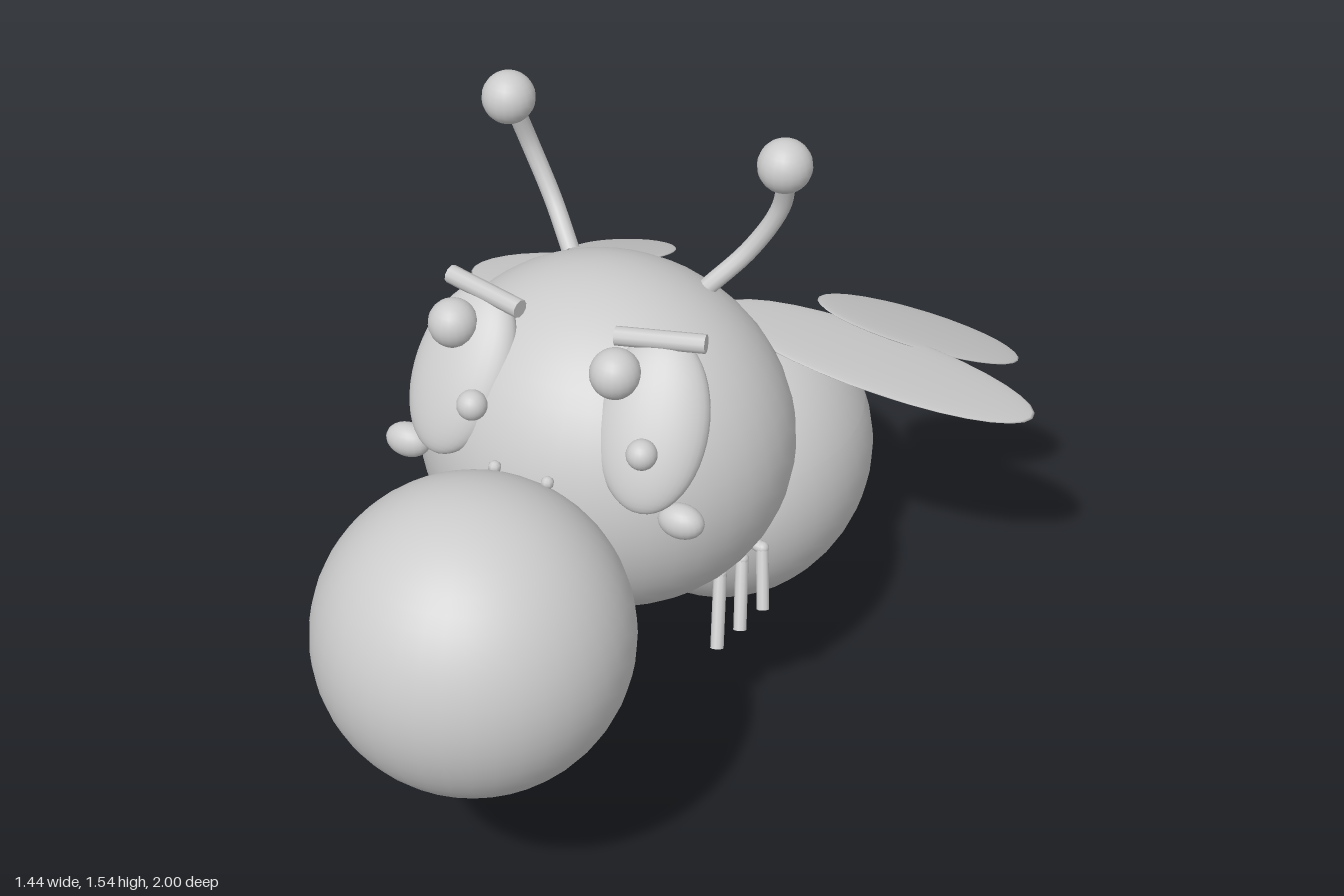
import * as THREE from 'three';

const shell = new THREE.MeshStandardMaterial({ color: 0xcccccc });
shell.name = 'pale grey';

export function createModel() {
  const model = new THREE.Group();
  model.name = 'bee';

  const add = (name, geometry, position = [0, 0, 0]) => {
    const mesh = new THREE.Mesh(geometry, shell);
    mesh.name = name;
    mesh.position.set(...position);
    model.add(mesh);
    return mesh;
  };
  const ellipsoid = (name, position, radii, w = 32, h = 24) => {
    const mesh = add(name, new THREE.SphereGeometry(1, w, h), position);
    mesh.scale.set(...radii);
    return mesh;
  };
  const ball = (name, position, r, w = 20, h = 14) =>
    add(name, new THREE.SphereGeometry(r, w, h), position);
  // Straight rod between two points
  const rod = (name, from, to, r) => {
    const a = new THREE.Vector3(...from), b = new THREE.Vector3(...to);
    const mesh = add(name, new THREE.CylinderGeometry(r, r, a.distanceTo(b), 10));
    mesh.position.copy(a).lerp(b, 0.5);
    mesh.quaternion.setFromUnitVectors(new THREE.Vector3(0, 1, 0), b.sub(a).normalize());
    return mesh;
  };
  // Thin oval wing spanned by a long and a short half axis
  const wing = (name, centre, long, short, side) => {
    const a = new THREE.Vector3(long[0] * side, long[1], long[2]);
    const b = new THREE.Vector3(short[0] * side, short[1], short[2]);
    const n = a.clone().cross(b).setLength(0.01);
    const geometry = new THREE.SphereGeometry(1, 32, 16);
    geometry.applyMatrix4(new THREE.Matrix4().makeBasis(a, b, n));
    add(name, geometry, [centre[0] * side, centre[1], centre[2]]);
  };

  // Body
  ellipsoid('head', [0, 0.855, 0.07], [0.41, 0.385, 0.37], 40, 28);
  ball('nose', [0, 0.73, 0.668], 0.33, 40, 28);
  ellipsoid('thorax', [0, 0.575, -0.215], [0.26, 0.225, 0.225]);
  ellipsoid('abdomen', [0, 0.345, -0.61], [0.322, 0.337, 0.385], 40, 28);

  // Thin cover over the top of the abdomen
  const cover = add('abdomenCover',
    new THREE.SphereGeometry(1, 40, 12, 0, Math.PI * 2, 0, 1.15), [0, 0.345, -0.61]);
  cover.scale.set(0.326, 0.342, 0.39);

  for (const s of [-1, 1]) {
    // Face
    const eye = ellipsoid('eye', [s * 0.218, 1.08, 0.295], [0.115, 0.185, 0.055]);
    eye.rotation.set(-0.58, s * 0.2, 0, 'YXZ');
    ellipsoid('cheek', [s * 0.315, 0.913, 0.365], [0.05, 0.037, 0.035], 20, 14);
    ball('nostril', [s * 0.06, 0.985, 0.455], 0.014, 8, 6);
    rod('eyebrow', [s * 0.29, 1.238, 0.205], [s * 0.108, 1.228, 0.245], 0.02);

    // Antennae
    const curve = new THREE.CatmullRomCurve3([
      [0.16, 1.17, -0.08], [0.23, 1.25, -0.135], [0.29, 1.36, -0.15], [0.315, 1.48, -0.115],
    ].map(([x, y, z]) => new THREE.Vector3(x * s, y, z)));
    add('antenna', new THREE.TubeGeometry(curve, 20, 0.02, 10));
    ball('antennaTip', [s * 0.315, 1.49, -0.105], 0.057);

    // Wings
    wing('frontWing', [0.386, 0.775, -0.527], [0.329, -0.13, -0.142], [0.053, 0, 0.123], s);
    wing('rearWing', [0.388, 0.71, -0.78], [0.17, -0.14, -0.206], [0.092, 0, 0.0755], s);

    // Three bent legs per side
    [[-0.06, 0.44, 0.015, 0.29], [-0.18, 0.395, -0.11, 0.25], [-0.295, 0.345, -0.24, 0.215]]
      .forEach(([z, y, footZ, footY]) => {
        const knee = [s * 0.215, y, z];
        rod('upperLeg', [s * 0.13, y + 0.03, z], knee, 0.015);
        ball('knee', knee, 0.016, 10, 8);
        rod('lowerLeg', knee, [s * 0.245, footY, footZ], 0.015);
      });
  }

  // Eye highlights sit on the same side in both eyes
  ball('eyeHighlight', [0.135, 1.178, 0.3], 0.053);
  ball('eyeHighlight', [-0.24, 1.183, 0.29], 0.052);
  ball('smallEyeHighlight', [0.238, 1.07, 0.39], 0.032);
  ball('smallEyeHighlight', [-0.145, 1.07, 0.39], 0.032);

  // Pollen balls beside the body
  ball('frontPollen', [-0.35, 0.64, 0.455], 0.061, 10, 8);
  ball('rearPollen', [-0.35, 0.545, -0.77], 0.063, 10, 8);

  return model;
}
